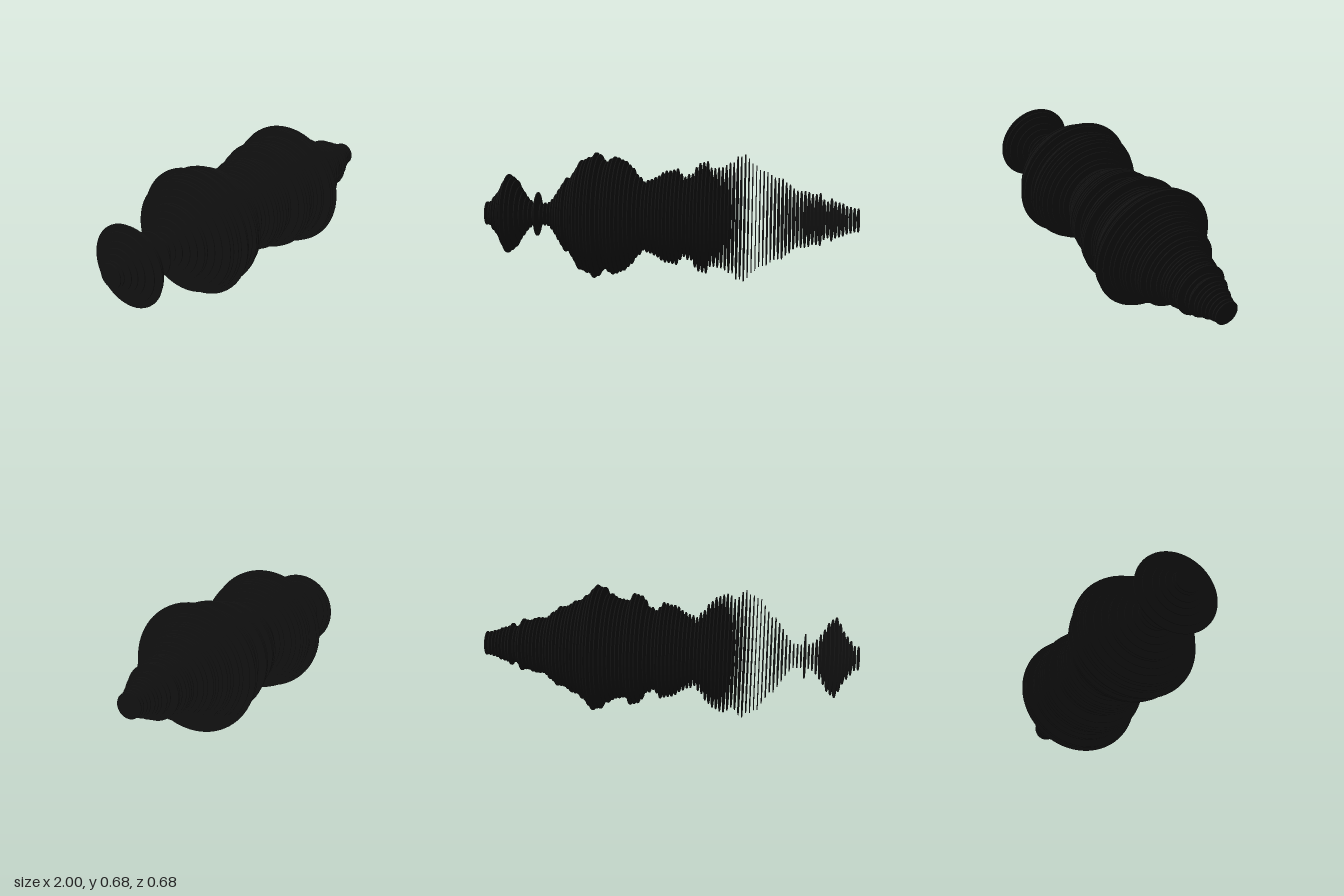
import * as THREE from 'three';

// Disc radii in hundredths of a unit, from the -x end to the +x end
const RADII = [
  6.3, 6.6, 9.2, 11.4, 14, 18, 21.3, 20, 18.2, 14.7,
  12, 9.3, 7.5, 6.5, 11.8, 6.3, 6.3, 6.5, 8.3, 10.9,
  14, 17, 20, 20, 23, 26, 29.5, 30, 31.2, 31.5,
  33.8, 32.8, 30, 29, 30.6, 31.7, 31.2, 30.2, 29.5, 27.5,
  25.8, 22.5, 21, 18.5, 19.5, 20, 21, 22, 23.7, 24.6,
  24.8, 25.3, 25.8, 23.2, 21.5, 23, 23.2, 26.8, 29, 29.5,
  30, 26.5, 26.4, 26.8, 27, 28, 29.5, 29.5, 32.8, 32.8,
  33.8, 31.7, 29, 28, 25.8, 25.3, 24.8, 23.2, 22, 21.6,
  21.5, 19.4, 18.3, 16.2, 15.1, 15.1, 15.1, 14.6, 13.5, 13.5,
  14, 10.8, 9.8, 11.4, 9.8, 9.2, 8.7, 7.6, 7.1, 6.5, 6.4,
];
const THICKNESS = 0.005;
const AXIS_HEIGHT = 0.338;

export function createModel() {
  const group = new THREE.Group();
  group.name = 'waveformDiscs';
  const black = new THREE.MeshStandardMaterial({ color: 0x111111 });
  black.name = 'black';

  // One unit disc facing along x, scaled for every slice of the row
  const disc = new THREE.CylinderGeometry(1, 1, THICKNESS, 72);
  disc.rotateZ(-Math.PI / 2);

  const span = 2 - THICKNESS;
  RADII.forEach((r, i) => {
    const mesh = new THREE.Mesh(disc, black);
    mesh.name = `disc${i + 1}`;
    mesh.position.set((i / (RADII.length - 1) - 0.5) * span, AXIS_HEIGHT, 0);
    mesh.scale.set(1, r / 100, r / 100);
    group.add(mesh);
  });
  return group;
}
